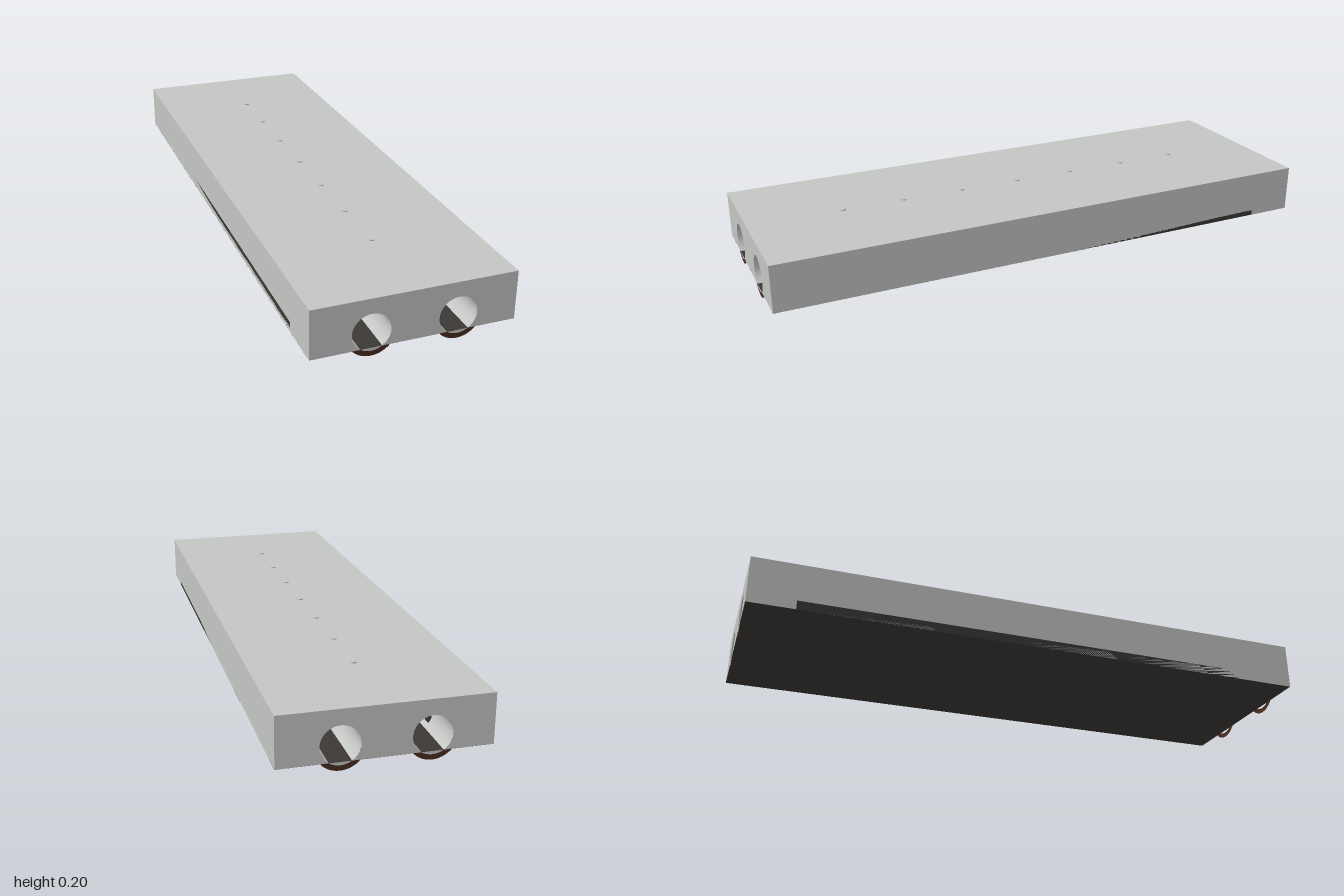
import * as THREE from 'three';

const W = 0.333, BOTTOM = 0.028, TOP = 0.193, L = 1;   // slab half width, levels, half length
const CX = 0.14, CY = 0.08, R = 0.0625;                // bores
const A = Math.acos((CY - BOTTOM) / R);                // half angle of the bore below the slab
const DOWN = -Math.PI / 2;

const mat = (name, color, side = THREE.FrontSide) => {
  const m = new THREE.MeshStandardMaterial({ color, side });
  m.name = name;
  return m;
};

export function createModel() {
  const concrete = mat('concrete grey', 0xc4c6c4);
  const dark = mat('dark underside', 0x3b3835, THREE.DoubleSide);
  const brown = mat('rust brown', 0x482c20, THREE.DoubleSide);
  const model = new THREE.Group();
  model.name = 'hollowSlab';

  const add = (name, geometry, material, x = 0, y = 0, z = 0) => {
    const mesh = new THREE.Mesh(geometry, material);
    mesh.name = name;
    mesh.position.set(x, y, z);
    model.add(mesh);
    return mesh;
  };

  // Slab profile with two bores breaking through the bottom edge
  const profile = new THREE.Shape();
  profile.moveTo(W, BOTTOM);
  profile.lineTo(W, TOP);
  profile.lineTo(-W, TOP);
  profile.lineTo(-W, BOTTOM);
  for (const s of [-1, 1]) profile.absarc(s * CX, CY, R, DOWN - A, DOWN + A, true);
  profile.closePath();
  const slab = new THREE.ExtrudeGeometry(profile, { depth: 2 * L, bevelEnabled: false, curveSegments: 24 });
  add('slab', slab, concrete, 0, 0, -L);

  // Underside sheet, which is also the floor of the bores
  const under = new THREE.PlaneGeometry(2 * W, 2 * L).rotateX(Math.PI / 2);
  add('underside', under, dark, 0, BOTTOM - 0.0003, 0);

  // Segment closing the bore end below the slab
  const segment = new THREE.Shape();
  segment.absarc(0, 0, R, DOWN - A, DOWN + A, false);
  segment.closePath();
  const lip = new THREE.ShapeGeometry(segment, 24);
  const ring = new THREE.RingGeometry(R, 0.08, 48);
  const strip = new THREE.BoxGeometry(0.145, 0.032, 1.68);
  const insert = new THREE.CylinderGeometry(0.0015, 0.0015, 0.004, 8);

  for (const s of [-1, 1]) {
    // Dark edge strip embedded flush along each long side
    add('edgeStrip', strip, dark, s * (W - 0.0725), BOTTOM + 0.016, 0);
    for (const e of [-1, 1]) {
      const turn = e > 0 ? 0 : Math.PI;
      add('boreLip', lip, concrete, s * CX, CY, e * L).rotation.y = turn;
      add('boreRing', ring, brown, s * CX, CY, e * (L - 0.001)).rotation.y = turn;
    }
    // Tiny inserts just breaking the top surface
    for (const z of [-0.7, -0.45, 0.45, 0.7]) add('insert', insert, concrete, s * 0.26, TOP - 0.001, z);
  }

  // Row of studs along the middle of the top
  const stud = new THREE.CylinderGeometry(0.0105, 0.0105, 0.008, 20);
  for (let i = -3; i <= 3; i++) add('topStud', stud, concrete, 0, TOP, i * 0.2225);

  return model;
}
